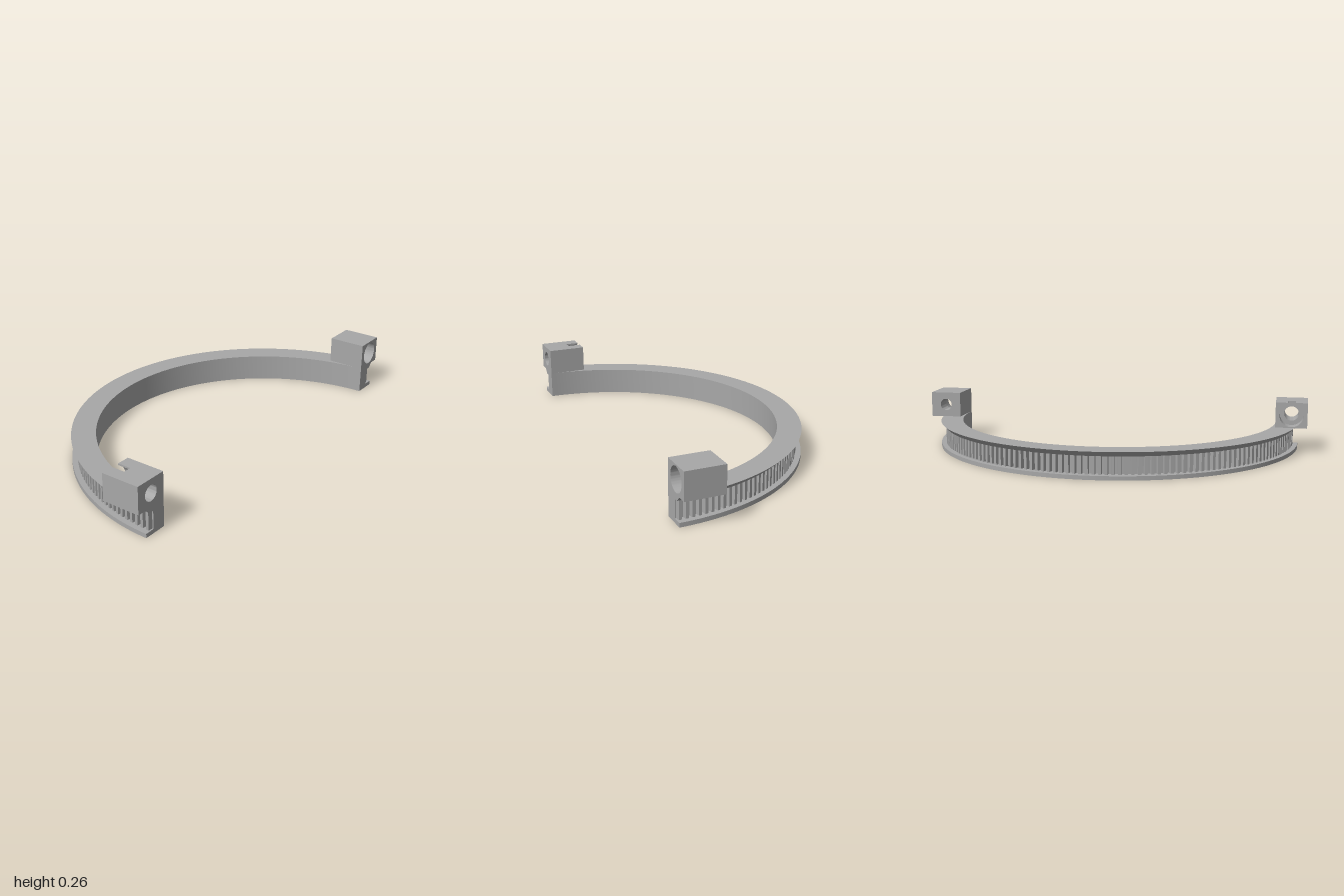
import * as THREE from 'three';
import { toCreasedNormals } from 'three/addons/utils/BufferGeometryUtils.js';

const CENTER_Z = 0.477; // centre of the arc, also the plane of its cut ends

export function createModel() {
  const model = new THREE.Group();
  const grey = new THREE.MeshStandardMaterial({ color: 0xa8a8a8 });
  grey.name = 'grey';

  const add = (name, geometry, parent = model) => {
    const mesh = new THREE.Mesh(geometry, grey);
    mesh.name = name;
    parent.add(mesh);
    return mesh;
  };

  // Half ring: flanged channel section swept through 180 degrees
  const section = [
    [0.84, 0], [0.955, 0], [0.955, 0.02], [0.908, 0.02],
    [0.908, 0.106], [0.93, 0.106], [0.955, 0.131], [0.84, 0.131],
  ].map(([r, y]) => new THREE.Vector2(r, y));
  const ring = new THREE.Group();
  ring.name = 'halfRing';
  ring.position.z = CENTER_Z;
  model.add(ring);
  const sweep = new THREE.LatheGeometry([...section, section[0].clone()], 96, Math.PI / 2, Math.PI);
  add('ringBody', toCreasedNormals(sweep, 0.5), ring);
  for (const side of [-1, 1]) {
    const cap = new THREE.Shape(section.map((p) => new THREE.Vector2(side * p.x, p.y)));
    add(side > 0 ? 'leftRingEnd' : 'rightRingEnd', new THREE.ShapeGeometry(cap), ring);
  }

  // Toothed band in the channel between the flanges
  const teeth = 96, root = 0.907, tip = 0.93, inner = 0.88;
  const pitch = Math.PI / teeth;
  const polar = (r, a) => new THREE.Vector2(r * Math.cos(a), r * Math.sin(a));
  const outline = [];
  for (let i = 0; i < teeth; i++) {
    for (const [r, f] of [[root, 0.2], [tip, 0.27], [tip, 0.73], [root, 0.8]]) {
      outline.push(polar(r, (i + f) * pitch));
    }
  }
  for (let i = teeth; i >= 0; i--) {
    outline.push(polar(inner, (0.2 + (i / teeth) * (teeth - 0.4)) * pitch));
  }
  const band = new THREE.ExtrudeGeometry(new THREE.Shape(outline), { depth: 0.086, bevelEnabled: false });
  band.rotateX(-Math.PI / 2);
  add('toothedBand', band, ring).position.y = 0.02;

  // Clamp blocks, layered along z so each bolt bore can change radius
  const W = 0.08, H = 0.065;
  const boredPlate = (radius) => {
    const s = new THREE.Shape([[-W, -H], [W, -H], [W, H], [-W, H]].map((p) => new THREE.Vector2(...p)));
    const hole = new THREE.Path();
    hole.absarc(0, 0, radius, 0, Math.PI * 2, true);
    s.holes.push(hole);
    return s;
  };
  const slottedPlate = (radius, half) => {
    const a = Math.acos(half / radius);
    const s = new THREE.Shape();
    s.moveTo(-W, -H);
    s.lineTo(W, -H);
    s.lineTo(W, H);
    s.lineTo(half, H);
    s.absarc(0, 0, radius, a, Math.PI - a, true);
    s.lineTo(-half, H);
    s.lineTo(-W, H);
    s.closePath();
    return s;
  };
  const block = (name, x, layers) => {
    const group = new THREE.Group();
    group.name = name;
    group.position.set(x, 0.195, 0);
    for (const [part, shape, z0, z1] of layers) {
      const g = new THREE.ExtrudeGeometry(shape, { depth: z1 - z0, bevelEnabled: false, curveSegments: 32 });
      add(part, toCreasedNormals(g, 0.5), group).position.z = z0;
    }
    model.add(group);
  };
  block('leftClampBlock', 0.92, [
    ['boltHole', boredPlate(0.031), 0.29, 0.37],
    ['boreStep', boredPlate(0.04), 0.37, 0.39],
    ['counterbore', boredPlate(0.057), 0.39, CENTER_Z],
  ]);
  block('rightClampBlock', -0.92, [
    ['slottedPocket', slottedPlate(0.06, 0.019), 0.29, 0.355],
    ['boltHole', boredPlate(0.037), 0.355, CENTER_Z],
  ]);

  return model;
}
